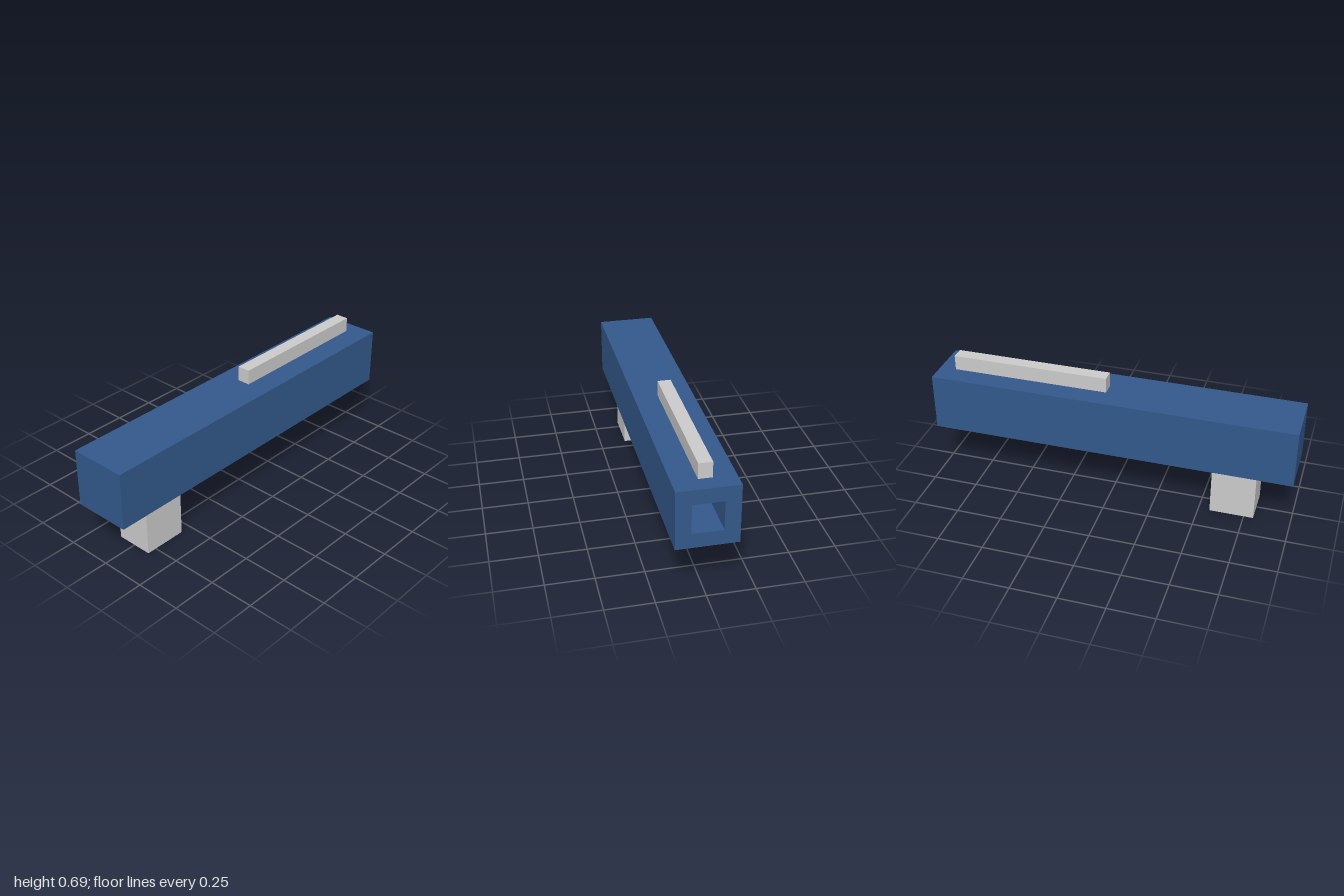
import * as THREE from 'three';

const blue = new THREE.MeshStandardMaterial({ color: 0x33598c });
const grey = new THREE.MeshStandardMaterial({ color: 0xcccccc });

// Box given by its lower and upper corners
function box(name, [x0, y0, z0], [x1, y1, z1], material) {
  const mesh = new THREE.Mesh(new THREE.BoxGeometry(x1 - x0, y1 - y0, z1 - z0), material);
  mesh.position.set((x0 + x1) / 2, (y0 + y1) / 2, (z0 + z1) / 2);
  mesh.name = name;
  return mesh;
}

function square(Type, h) {
  return new Type([[-h, -h], [h, -h], [h, h], [-h, h]].map(([x, y]) => new THREE.Vector2(x, y)));
}

export function createModel() {
  const model = new THREE.Group();
  const half = 0.158, bore = 0.079, midY = 0.449, wall = 0.08;

  // Square tube, open at +x and closed at -x
  const body = new THREE.Group();
  body.name = 'body';
  const section = square(THREE.Shape, half);
  section.holes.push(square(THREE.Path, bore));
  const tubeGeometry = new THREE.ExtrudeGeometry(section, { depth: 2 - wall, bevelEnabled: false });
  tubeGeometry.rotateY(Math.PI / 2);
  const tube = new THREE.Mesh(tubeGeometry, blue);
  tube.name = 'squareTube';
  tube.position.set(-1 + wall, midY, 0);
  body.add(tube, box('endCap', [-1, midY - half, -half], [-1 + wall, midY + half, half], blue));

  // Rail on top and block foot underneath
  model.add(
    body,
    box('topRail', [0.043, midY + half, -0.041], [0.91, 0.69, 0.03], grey),
    box('foot', [-0.802, 0, -0.103], [-0.562, midY - half, 0.103], grey)
  );
  return model;
}
